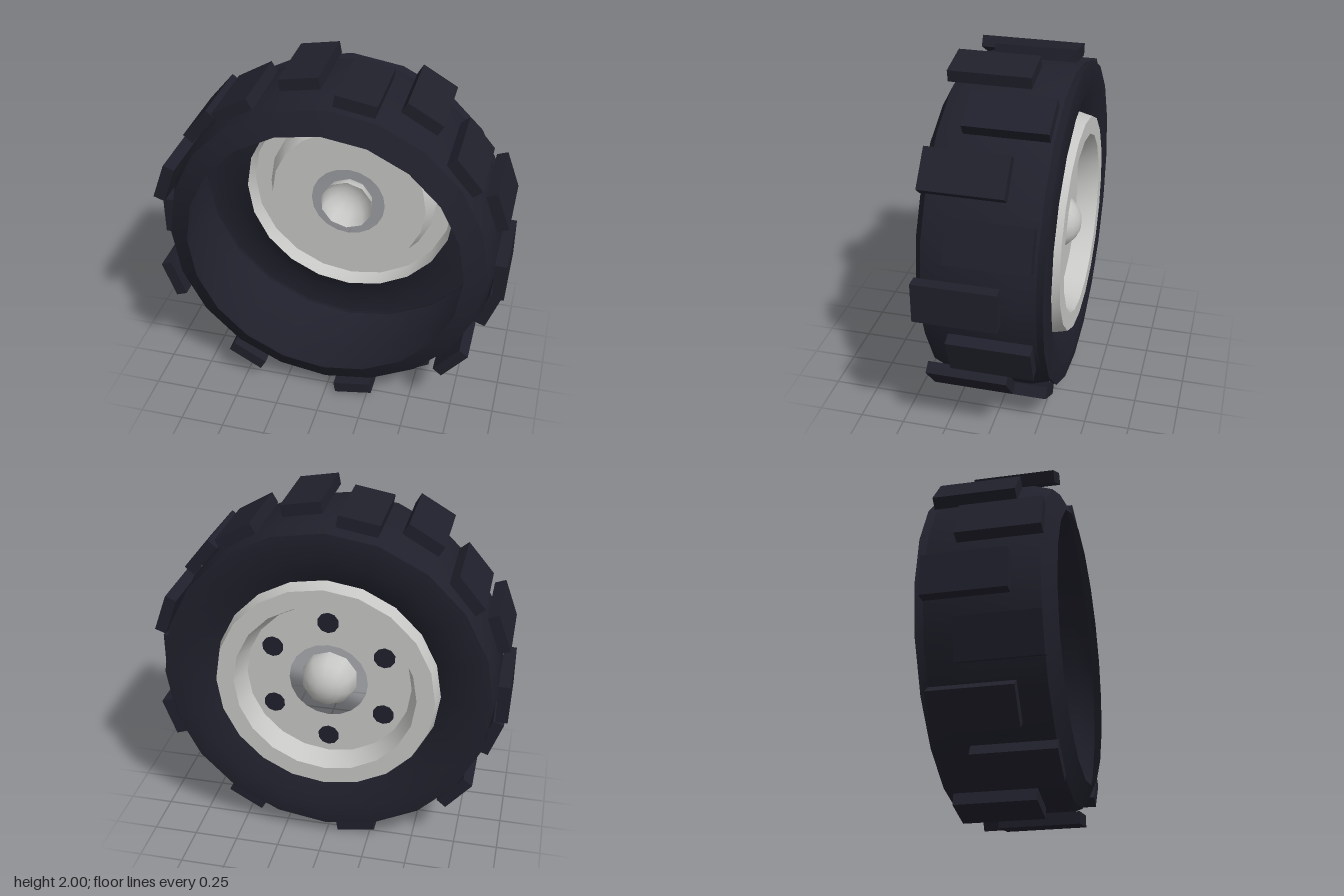
import * as THREE from 'three';
import { toCreasedNormals } from 'three/addons/utils/BufferGeometryUtils.js';

const SIDES = 20;

// Revolve [radius, z] points around the z axis
function revolve(points, sides = SIDES, crease = 0.6) {
  const profile = points.map(([r, z]) => new THREE.Vector2(r, z));
  const geometry = new THREE.LatheGeometry(profile, sides).rotateX(Math.PI / 2);
  return toCreasedNormals(geometry, crease);
}

export function createModel() {
  const rubber = new THREE.MeshStandardMaterial({ color: 0x20202c, side: THREE.DoubleSide });
  rubber.name = 'darkRubber';
  const metal = new THREE.MeshStandardMaterial({ color: 0xc6c6c4, side: THREE.DoubleSide });
  metal.name = 'lightMetal';

  const wheel = new THREE.Group();
  wheel.name = 'wheel';
  const add = (name, geometry, material, parent = wheel) => {
    const mesh = new THREE.Mesh(geometry, material);
    mesh.name = name;
    parent.add(mesh);
    return mesh;
  };

  // Tyre: a hollow shell, open at the front, with a small lip at the back
  add('tyre', revolve([
    [0.63, -0.28], [0.78, -0.352], [0.915, -0.34], [0.9, -0.3],
    [0.93, -0.2], [0.93, 0.2], [0.9, 0.3], [0.78, 0.362],
  ]), rubber);

  // Rim: outer band, flat flange, recessed dish with a hub hole
  add('rim', revolve([
    [0.222, -0.24], [0.465, -0.24], [0.51, -0.36], [0.61, -0.36], [0.632, -0.27],
  ]), metal);

  // Hub cap: a hollow dome bulging towards the back
  const dome = [];
  for (let i = 0; i <= 5; i++) {
    const a = (i / 5) * Math.PI / 2;
    dome.push([0.158 * Math.cos(a), -0.2 - 0.155 * Math.sin(a)]);
  }
  add('hubCap', revolve(dome, 10, 1), metal);

  // Dark bolt recesses as thin plates on the dish
  const boltGeometry = new THREE.CylinderGeometry(0.06, 0.06, 0.006, 10).rotateX(Math.PI / 2);
  for (let i = 0; i < 6; i++) {
    const a = Math.PI / 6 + i * Math.PI / 3;
    add('boltRecess', boltGeometry, rubber)
      .position.set(0.36 * Math.cos(a), 0.36 * Math.sin(a), -0.2435);
  }

  // Tread blocks: two staggered rows, alternating front and back
  const treads = new THREE.Group();
  treads.name = 'treads';
  wheel.add(treads);
  const blockGeometry = new THREE.BoxGeometry(0.066, 0.222, 0.446);
  for (let i = 0; i < 18; i++) {
    const a = i * Math.PI / 9;
    const block = add('treadBlock', blockGeometry, rubber, treads);
    block.position.set(0.963 * Math.cos(a), 0.963 * Math.sin(a), i % 2 ? -0.068 : 0.095);
    block.rotation.z = a;
  }

  wheel.position.y = 1;
  const model = new THREE.Group();
  model.name = 'treadedWheel';
  model.add(wheel);
  return model;
}
